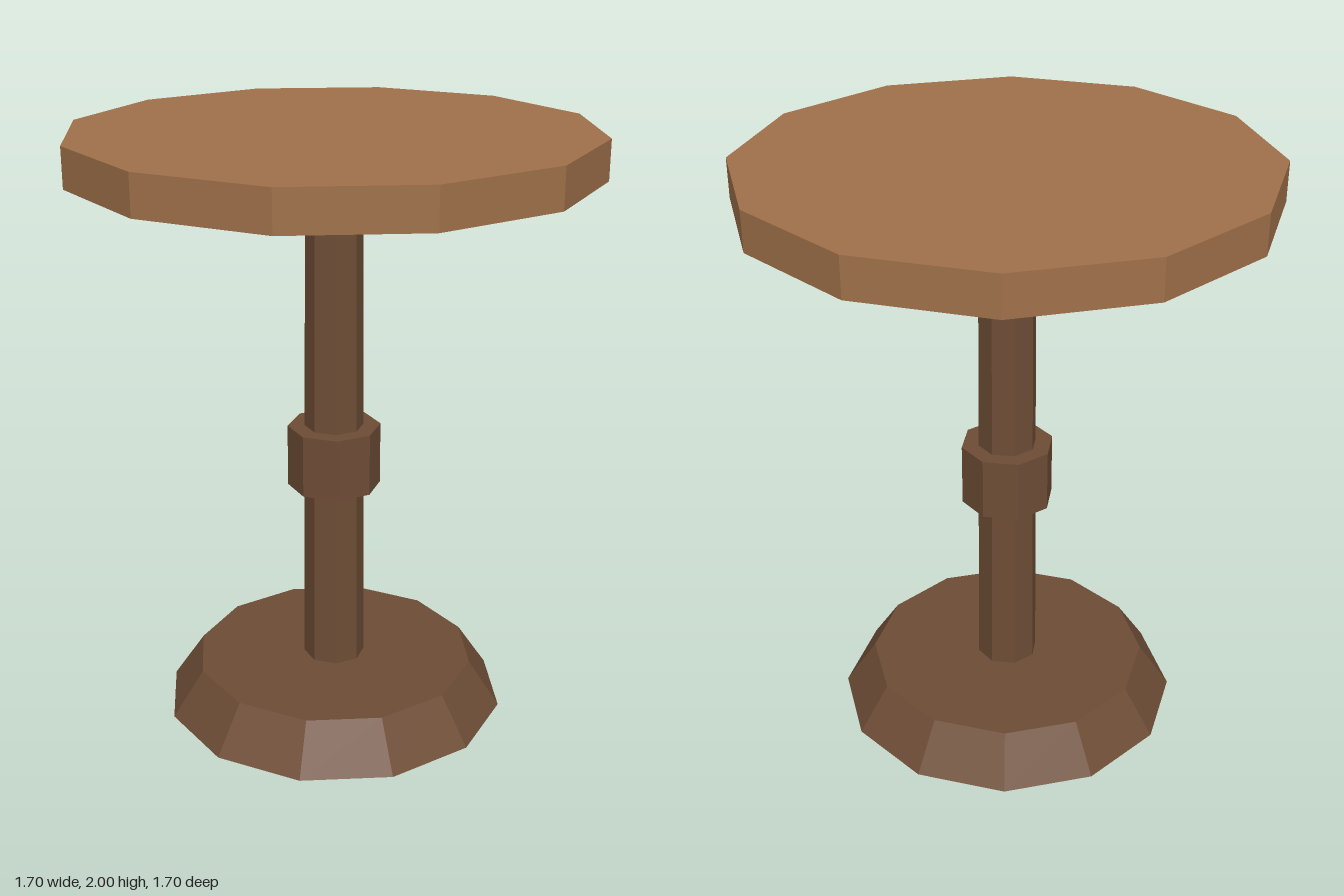
import * as THREE from 'three';

export function createModel() {
  const group = new THREE.Group();
  group.name = 'pedestalTable';

  const lightWood = new THREE.MeshStandardMaterial({ color: 0xa0714a, flatShading: true });
  lightWood.name = 'light wood';
  const darkWood = new THREE.MeshStandardMaterial({ color: 0x6e4d36, flatShading: true });
  darkWood.name = 'dark wood';

  // Faceted round part spanning heights y0 to y1
  function addRound(name, rTop, rBottom, y0, y1, sides, material) {
    const mesh = new THREE.Mesh(new THREE.CylinderGeometry(rTop, rBottom, y1 - y0, sides), material);
    mesh.name = name;
    mesh.position.y = (y0 + y1) / 2;
    group.add(mesh);
  }

  addRound('base', 0.48, 0.587, 0, 0.16, 12, darkWood);
  addRound('column', 0.092, 0.105, 0.16, 1.87, 8, darkWood);
  addRound('collar', 0.156, 0.156, 0.802, 1.014, 8, darkWood);
  addRound('tableTop', 0.852, 0.852, 1.87, 2, 12, lightWood);

  return group;
}
